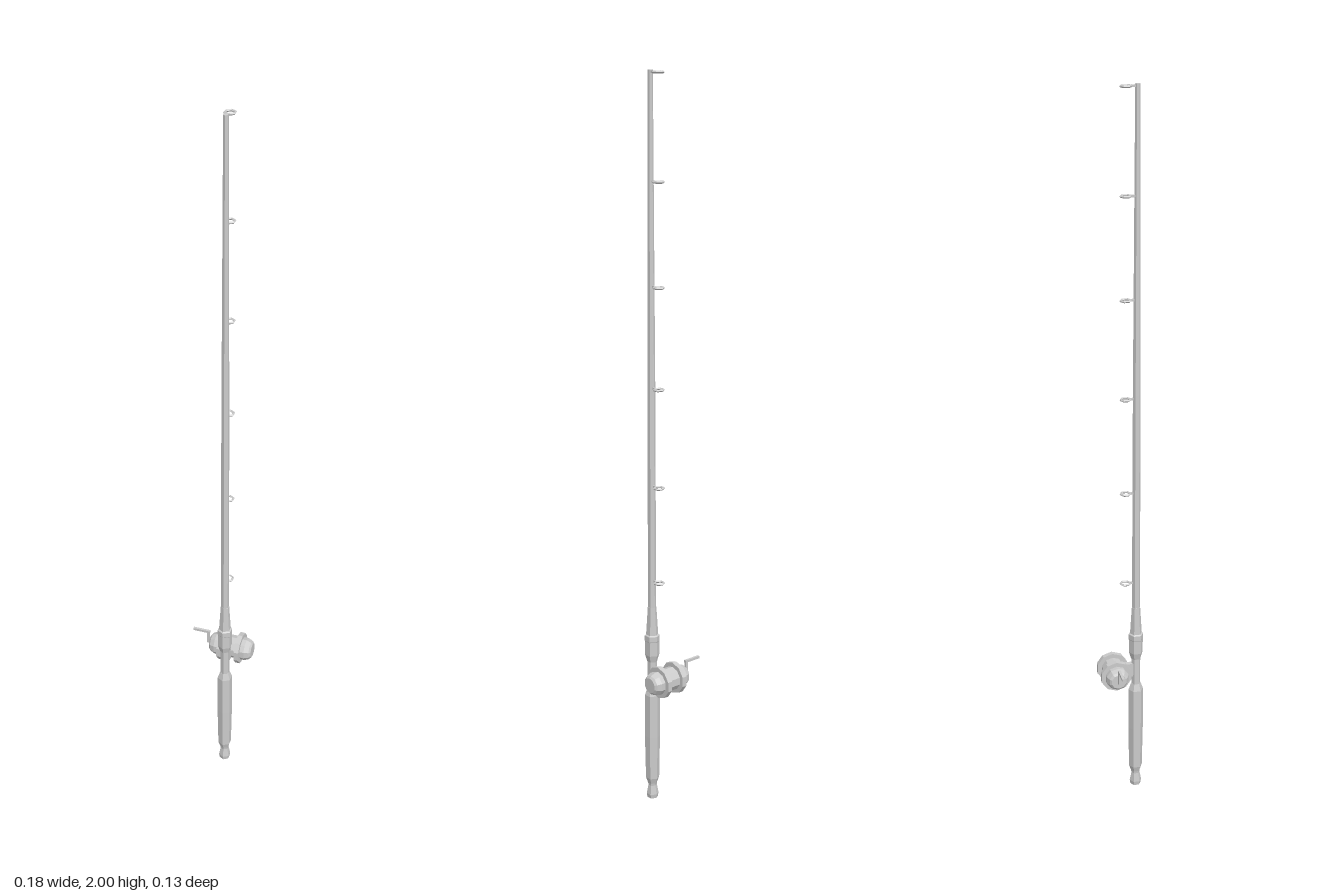
import * as THREE from 'three';

const ROD_X = 0.025, ROD_Z = 0.04;
const REEL_Y = 0.38, REEL_Z = -0.023;

const material = new THREE.MeshStandardMaterial({ color: 0xcccccc, flatShading: true });

export function createModel() {
  const root = new THREE.Group();
  root.name = 'fishingRod';

  function add(parent, name, geometry, x = 0, y = 0, z = 0) {
    const mesh = new THREE.Mesh(geometry, material);
    mesh.name = name;
    mesh.position.set(x, y, z);
    parent.add(mesh);
    return mesh;
  }
  const lathe = (points, sides) =>
    new THREE.LatheGeometry(points.map(([r, h]) => new THREE.Vector2(r, h)), sides);

  // Six-sided rod: everything here turns around the rod axis
  const rod = new THREE.Group();
  rod.name = 'rod';
  rod.position.set(ROD_X, 0, ROD_Z);
  root.add(rod);

  add(rod, 'grip', lathe([
    [0, 0], [0.015, 0], [0.017, 0.012], [0.012, 0.038], [0.013, 0.045],
    [0.019, 0.062], [0.0215, 0.19], [0.021, 0.315], [0.014, 0.335], [0, 0.335],
  ], 6));
  add(rod, 'reelSeat', new THREE.CylinderGeometry(0.013, 0.013, 0.1, 6), 0, 0.38, 0);
  add(rod, 'foreGrip', lathe([
    [0, 0.415], [0.014, 0.415], [0.02, 0.435], [0.02, 0.475], [0.021, 0.477],
    [0.021, 0.492], [0.017, 0.495], [0.012, 0.575], [0, 0.58],
  ], 6));
  add(rod, 'blank', lathe([
    [0, 0.55], [0.0115, 0.55], [0.0105, 1.2], [0.0085, 1.6], [0.0065, 2], [0, 2],
  ], 6));

  // Line guides: a ring behind the blank on a short stem
  for (let i = 0; i < 6; i++) {
    const guide = new THREE.Group();
    guide.name = 'lineGuide' + (i + 1);
    guide.position.set(0, 0.652 + i * 0.2685, 0);
    rod.add(guide);
    const ring = new THREE.TorusGeometry(0.0135, 0.0033, 4, 6);
    ring.rotateZ(Math.PI / 6).rotateX(Math.PI / 2);
    add(guide, 'guideRing', ring, 0, 0, -0.03);
    add(guide, 'guideStem', new THREE.BoxGeometry(0.006, 0.006, 0.014), 0, 0, -0.01);
  }

  // Reel: a ten-sided drum lying along x
  const reel = new THREE.Group();
  reel.name = 'reel';
  reel.position.set(ROD_X, REEL_Y, REEL_Z);
  root.add(reel);

  const half = [[0.021, 0.063], [0.027, 0.058], [0.0325, 0.045], [0.0325, 0.026]];
  const drum = lathe([
    [0, -0.063], ...half.map(([r, h]) => [r, -h]), ...half.slice().reverse(), [0, 0.063],
  ], 10);
  const alongX = (geometry) => geometry.rotateY(Math.PI / 2).rotateZ(-Math.PI / 2);
  add(reel, 'reelDrum', alongX(drum));
  for (const side of [-1, 1]) {
    add(reel, side < 0 ? 'rightFlange' : 'leftFlange',
      alongX(new THREE.CylinderGeometry(0.0445, 0.0445, 0.014, 10)), side * 0.026, 0, 0);
  }
  add(reel, 'reelFoot', new THREE.BoxGeometry(0.014, 0.04, 0.03), 0, 0, 0.042);

  // Crank on the model's right side
  add(reel, 'crankAxle', new THREE.BoxGeometry(0.012, 0.007, 0.007), -0.067, 0, 0);
  add(reel, 'crankArm', new THREE.BoxGeometry(0.007, 0.042, 0.007), -0.07, 0.0175, 0);
  add(reel, 'crankHandle', new THREE.BoxGeometry(0.05, 0.007, 0.007), -0.0905, 0.035, 0);

  return root;
}
